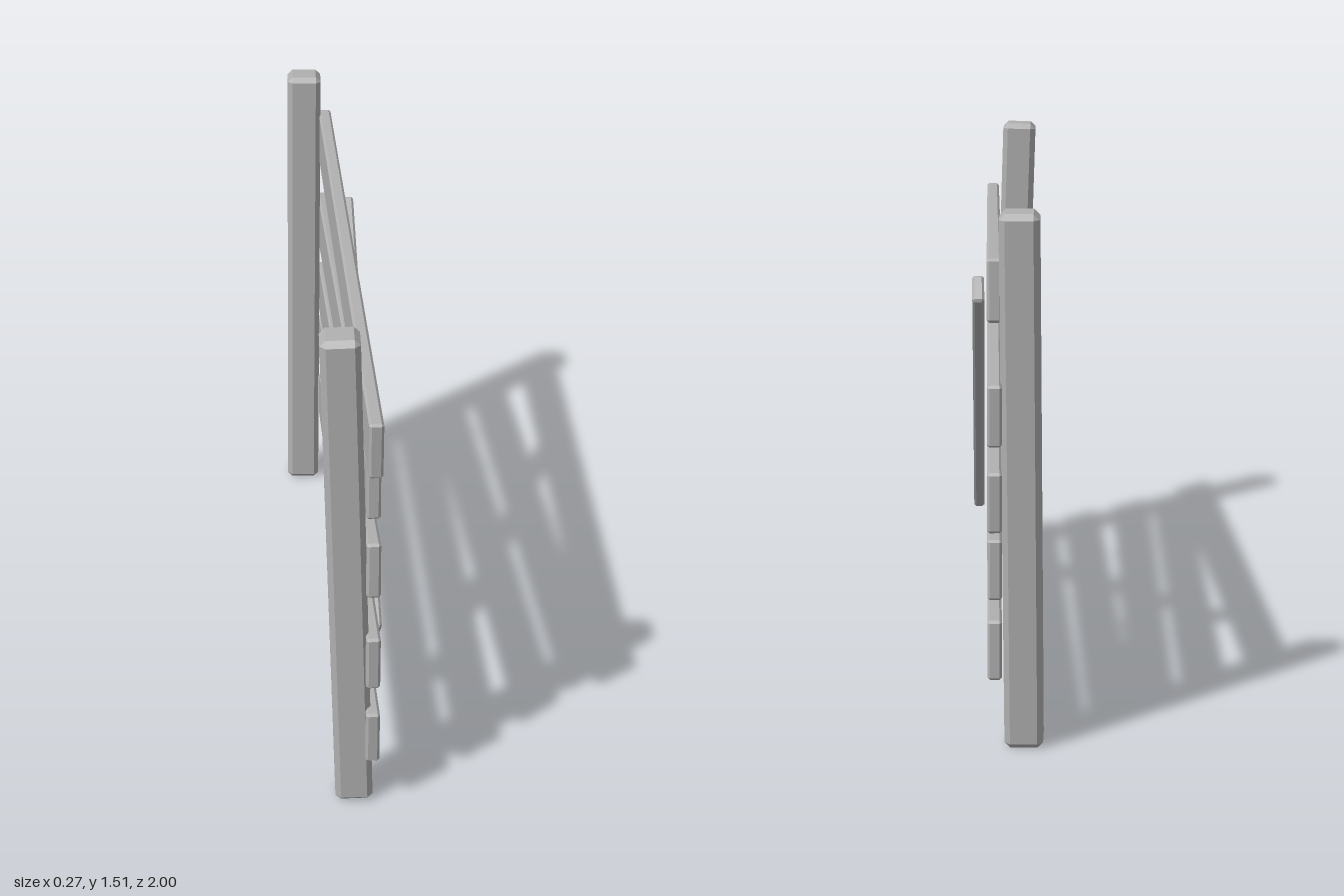
import * as THREE from 'three';
import { ConvexGeometry } from 'three/addons/geometries/ConvexGeometry.js';

// Box with chamfered edges, long side along z
function chamferBox(w, h, l, c) {
  const pts = [];
  for (const sx of [-1, 1]) for (const sy of [-1, 1]) for (const sz of [-1, 1]) {
    const x = w / 2, y = h / 2, z = l / 2;
    pts.push(
      new THREE.Vector3(sx * x, sy * (y - c), sz * (z - c)),
      new THREE.Vector3(sx * (x - c), sy * y, sz * (z - c)),
      new THREE.Vector3(sx * (x - c), sy * (y - c), sz * z)
    );
  }
  return new ConvexGeometry(pts);
}

export function createModel() {
  const group = new THREE.Group();
  const wood = new THREE.MeshStandardMaterial({ color: 0xb0b0b0, flatShading: true });
  wood.name = 'weathered grey';

  // Beam between two end centres; `side` is the rough direction of its height
  function beam(name, a, b, thick, height, chamfer, side) {
    const from = new THREE.Vector3(...a), to = new THREE.Vector3(...b);
    const zAxis = to.clone().sub(from);
    const length = zAxis.length();
    zAxis.normalize();
    const xAxis = new THREE.Vector3().crossVectors(side, zAxis).normalize();
    const yAxis = new THREE.Vector3().crossVectors(zAxis, xAxis);
    const mesh = new THREE.Mesh(chamferBox(thick, height, length, chamfer), wood);
    mesh.quaternion.setFromRotationMatrix(new THREE.Matrix4().makeBasis(xAxis, yAxis, zAxis));
    mesh.position.copy(from).lerp(to, 0.5);
    mesh.name = name;
    group.add(mesh);
  }

  const up = new THREE.Vector3(0, 1, 0);
  const forward = new THREE.Vector3(0, 0, 1);

  // Leaning posts
  beam('frontPost', [0.039, 0.004, 0.908], [-0.005, 1.515, 0.908], 0.108, 0.106, 0.016, forward);
  beam('backPost', [-0.082, 0.004, -0.89], [-0.068, 1.515, -0.93], 0.108, 0.108, 0.016, forward);

  // Crooked planks: front z, front y, back z, back y
  const planks = [
    [0.983, 0.25, -0.948, 0.295],
    [0.98, 0.507, -0.95, 0.528],
    [0.962, 0.807, -0.963, 0.722],
    [0.936, 1.047, -0.994, 0.972],
    [0.994, 1.206, -0.935, 1.302],
  ];
  const plankX = z => 0.043 + 0.0475 * z;
  planks.forEach(([z0, y0, z1, y1], i) =>
    beam('plank' + (i + 1), [plankX(z1), y1, z1], [plankX(z0), y0, z0], 0.04, 0.172, 0.007, up));

  // Diagonal brace
  beam('diagonalBrace', [0.062, 1.23, -0.536], [0.117, 0.298, 0.523], 0.034, 0.086, 0.007, up);

  return group;
}
